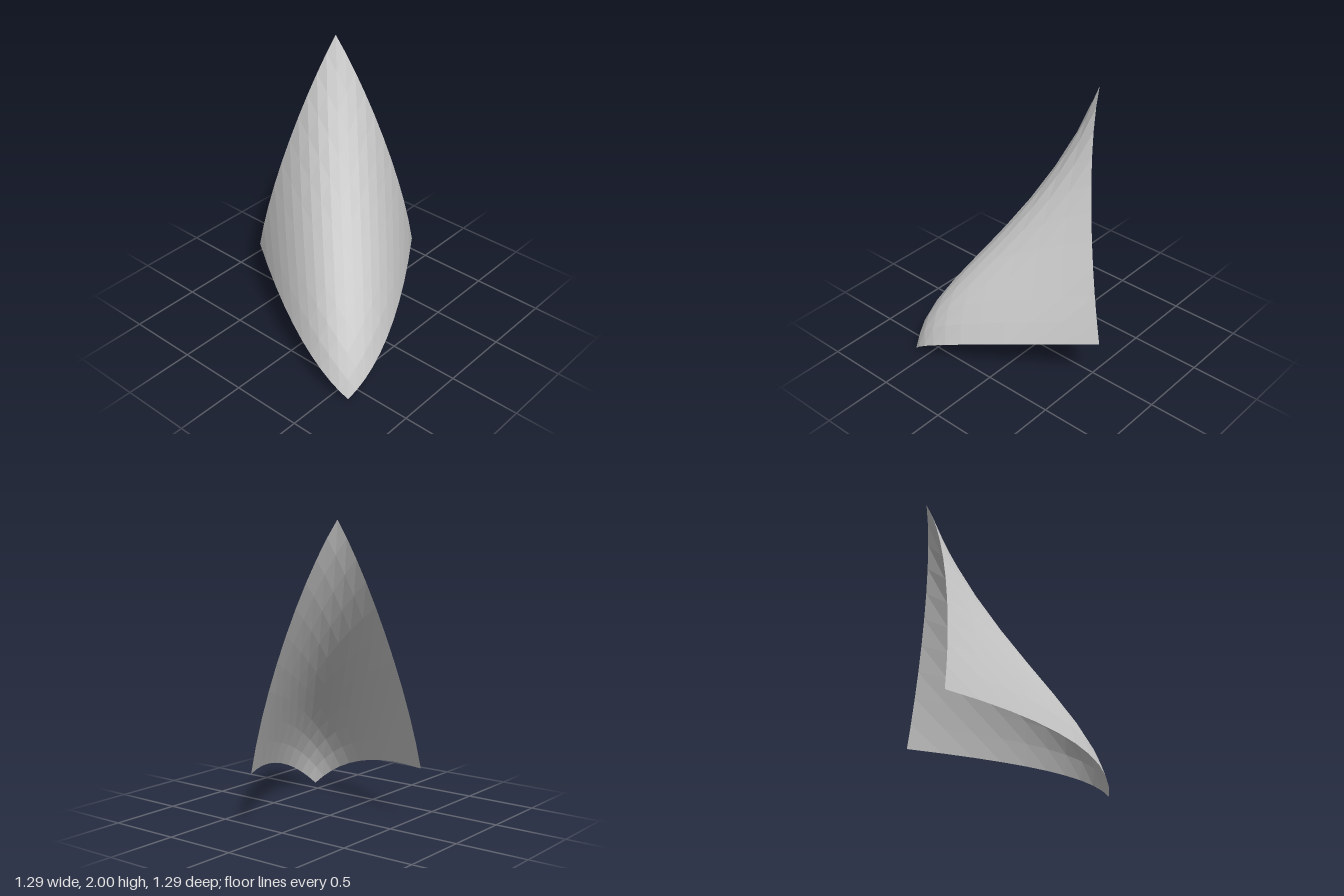
import * as THREE from 'three';

const V = (x, y, z) => new THREE.Vector3(x, y, z);
// the sheet is symmetric about the vertical plane x = -z
const mirror = (p) => V(-p.z, p.y, -p.x);

export function createModel() {
  const group = new THREE.Group();
  const bottom = V(-0.61, 0, 0.61);
  const side = V(0.645, 0.4, 0.13);
  const otherSide = mirror(side);
  const top = V(0.272, 2, -0.272);

  // lower edge: bottom to side corner; upper edge: side corner to tip
  const lower = new THREE.CubicBezierCurve3(bottom, V(-0.45, 0.19, 0.715), V(-0.05, 0.313, 0.59), side);
  const upper = new THREE.CubicBezierCurve3(side, V(0.54, 0.95, 0.11), V(0.345, 1.65, -0.06), top);

  // Coons patch between the four edges, with a slight bulge of the ridge
  const surface = (u, v) => {
    const bulge = 2 * u * v * ((1 - u) * (1 - v)) ** 2;
    return V(0, 0, 0)
      .addScaledVector(lower.getPoint(u), 1 - v)
      .addScaledVector(mirror(upper.getPoint(u)), v)
      .addScaledVector(mirror(lower.getPoint(v)), 1 - u)
      .addScaledVector(upper.getPoint(v), u)
      .addScaledVector(bottom, -(1 - u) * (1 - v))
      .addScaledVector(side, -u * (1 - v))
      .addScaledVector(otherSide, -(1 - u) * v)
      .addScaledVector(top, -u * v)
      .addScaledVector(V(-0.71, 1, 0.71), bulge);
  };

  // grid of quads, split along the ridge direction
  const n = 10;
  const positions = [];
  const index = [];
  for (let j = 0; j <= n; j++) {
    for (let i = 0; i <= n; i++) {
      positions.push(...surface(i / n, j / n).toArray());
      if (i < n && j < n) {
        const a = j * (n + 1) + i;
        const d = a + n + 1;
        index.push(a, a + 1, d + 1, a, d + 1, d);
      }
    }
  }
  const geometry = new THREE.BufferGeometry();
  geometry.setAttribute('position', new THREE.Float32BufferAttribute(positions, 3));
  geometry.setIndex(index);
  geometry.computeVertexNormals();

  const sail = new THREE.Mesh(geometry, new THREE.MeshStandardMaterial({
    color: 0xcccccc, flatShading: true, side: THREE.DoubleSide,
  }));
  sail.name = 'curvedSail';
  group.add(sail);
  return group;
}
